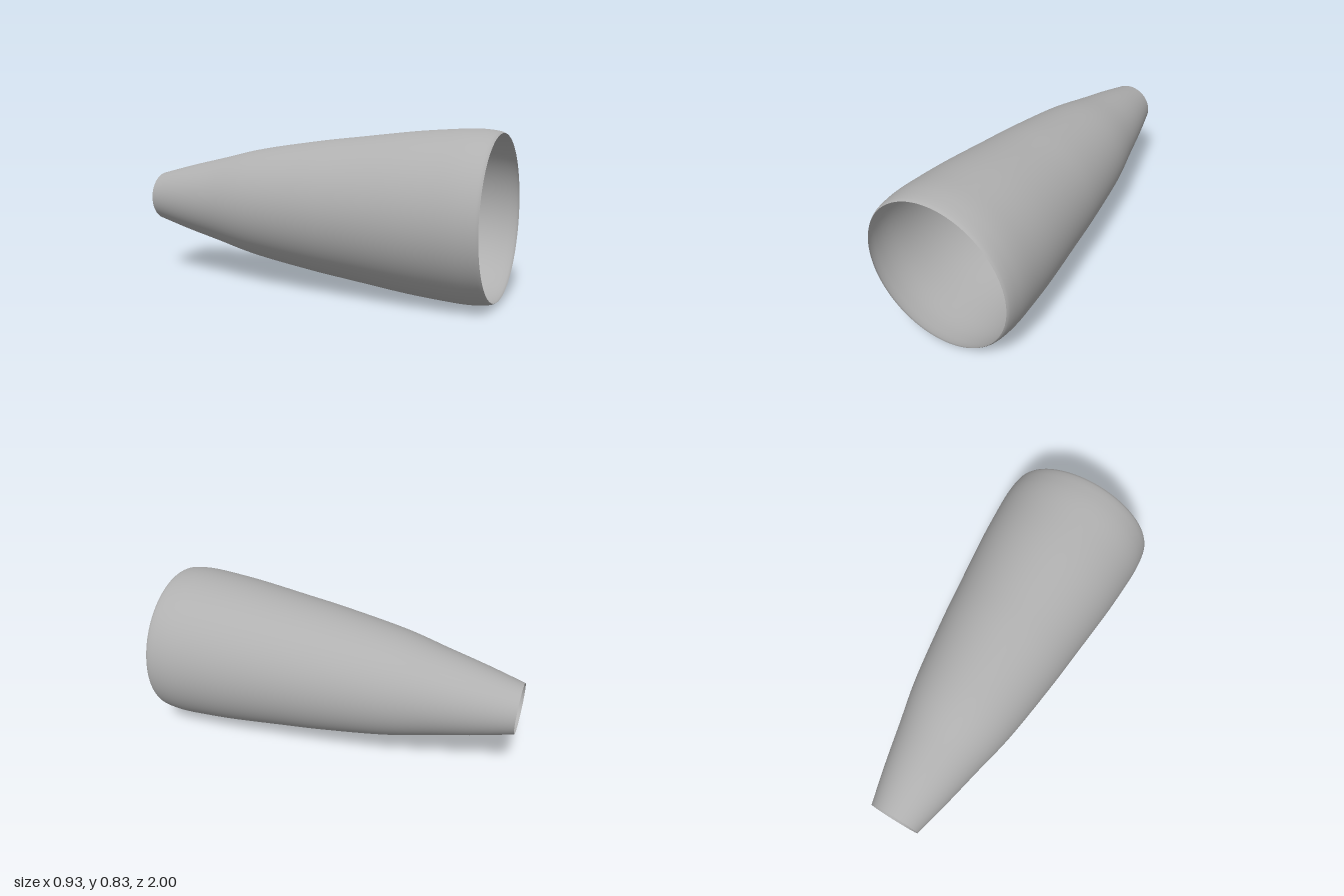
import * as THREE from 'three';

const SEGMENTS = 96;

// Smooth curve through [radius, distance along axis] pairs
function smoothProfile(pairs, divisions) {
  return new THREE.SplineCurve(pairs.map(([r, s]) => new THREE.Vector2(r, s))).getPoints(divisions);
}

export function createModel() {
  const group = new THREE.Group();
  group.name = 'taperedSleeve';
  const grey = new THREE.MeshStandardMaterial({ color: 0xb0b0b0, side: THREE.DoubleSide });
  grey.name = 'plain grey';

  // Everything turns around one axis, laid along z and swung slightly sideways
  const addTurned = (name, profile) => {
    const geometry = new THREE.LatheGeometry(profile, SEGMENTS);
    geometry.rotateX(Math.PI / 2);
    geometry.rotateY(0.199);
    geometry.translate(-0.12, 0.418, -0.031);
    const mesh = new THREE.Mesh(geometry, grey);
    mesh.name = name;
    group.add(mesh);
  };

  // Outer wall: narrow open back, swelling to the front with a rolled-in lip
  addTurned('outerShell', smoothProfile([
    [0.132, -0.965], [0.182, -0.77], [0.23, -0.56], [0.287, -0.31],
    [0.338, 0.03], [0.364, 0.25], [0.397, 0.54], [0.412, 0.74],
    [0.416, 0.84], [0.412, 0.91], [0.405, 0.95], [0.397, 0.966],
  ], 80));

  // Recessed cup inside the narrow end, with a rounded edge and flat floor
  const cup = [new THREE.Vector2(0.132, -0.965)];
  const fillet = 0.03;
  for (let i = 0; i <= 8; i++) {
    const a = (i / 8) * Math.PI / 2;
    cup.push(new THREE.Vector2(0.097 + fillet * Math.cos(a), -0.855 + fillet * Math.sin(a)));
  }
  cup.push(new THREE.Vector2(0.09, -0.825), new THREE.Vector2(0, -0.825));
  addTurned('backCup', cup);

  return group;
}
